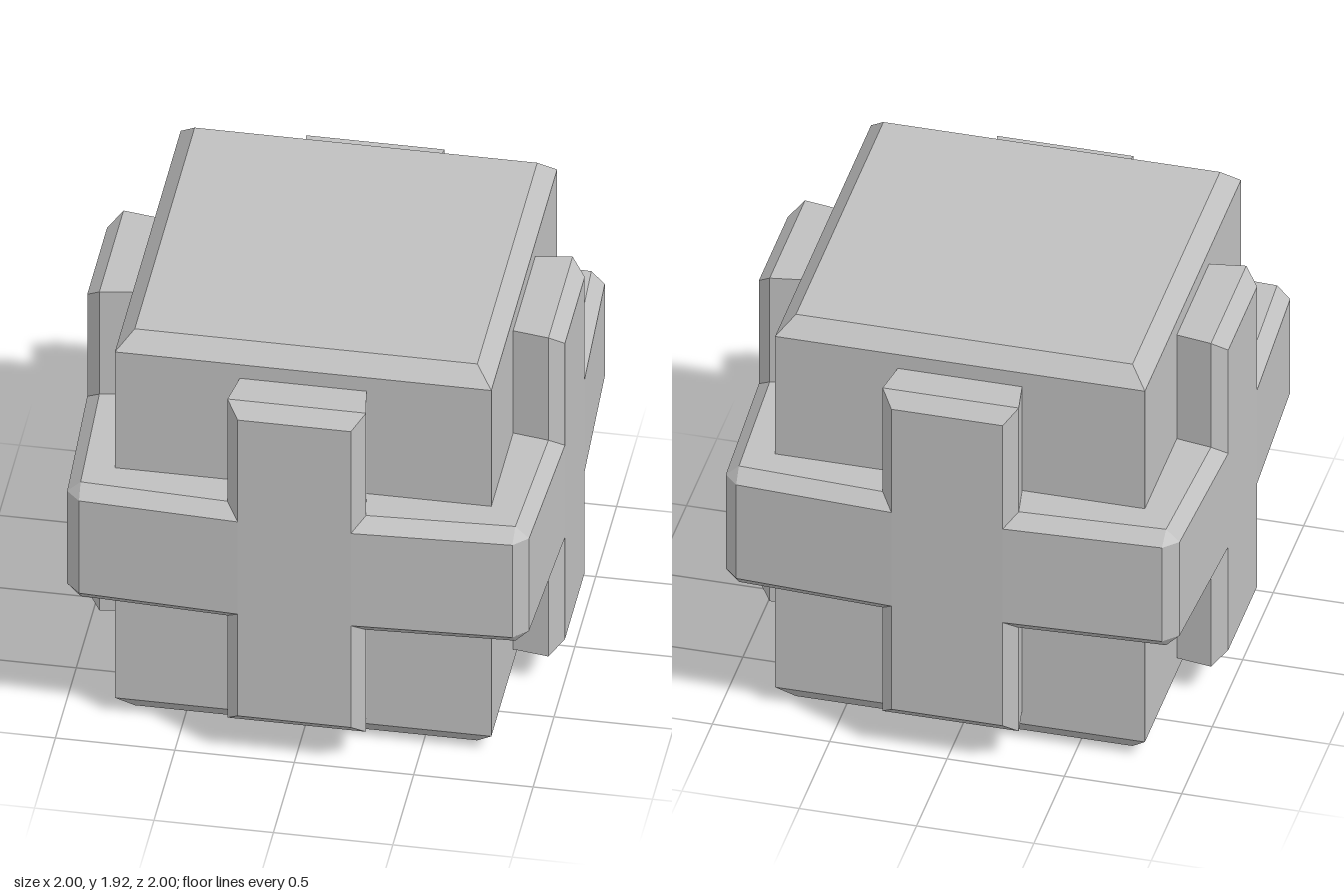
import * as THREE from 'three';

// Skin convex rings (counter-clockwise in x/y, each at its own z) and cap both ends
function loft(rings) {
  const pos = [];
  const tri = (...pts) => pts.forEach((p) => pos.push(...p));
  const r = rings.map(({ pts, z }) => pts.map(([x, y]) => [x, y, z]));
  const n = r[0].length, last = r[r.length - 1];
  for (let k = 0; k < r.length - 1; k++) {
    for (let i = 0; i < n; i++) {
      const j = (i + 1) % n;
      tri(r[k][i], r[k][j], r[k + 1][j]);
      tri(r[k][i], r[k + 1][j], r[k + 1][i]);
    }
  }
  for (let i = 1; i < n - 1; i++) {
    tri(r[0][0], r[0][i + 1], r[0][i]);
    tri(last[0], last[i], last[i + 1]);
  }
  const g = new THREE.BufferGeometry();
  g.setAttribute('position', new THREE.Float32BufferAttribute(pos, 3));
  g.computeVertexNormals();
  return g;
}

const rect = (w, y0, y1) => [[-w, y0], [w, y0], [w, y1], [-w, y1]];

// Repeat one side's points around the four sides
function fourSides(side) {
  const out = [];
  let pts = side;
  for (let k = 0; k < 4; k++) {
    out.push(...pts);
    pts = pts.map(([u, v]) => [-v, u]);
  }
  return out;
}

export function createModel() {
  const group = new THREE.Group();
  const grey = new THREE.MeshStandardMaterial({ color: 0xc0c0c0 });
  grey.name = 'plain grey';

  const add = (name, geometry) => {
    const mesh = new THREE.Mesh(geometry, grey);
    mesh.name = name;
    group.add(mesh);
    return mesh;
  };

  // Block with bevelled top and bottom rims
  const wide = rect(0.788, -0.788, 0.788), narrow = rect(0.717, -0.717, 0.717);
  add('core', loft([
    { pts: narrow, z: 0 },
    { pts: wide, z: 0.08 },
    { pts: wide, z: 1.842 },
    { pts: narrow, z: 1.918 },
  ]).rotateX(-Math.PI / 2));

  // Horizontal band, slightly bowed on each side with cut corners
  const outer = fourSides([[0.967, -0.907], [1, -0.237], [1, 0.237], [0.967, 0.907]]);
  const inner = fourSides([[0.91, -0.91], [0.94, -0.29], [0.94, 0.29], [0.91, 0.91]]);
  add('band', loft([
    { pts: inner, z: 0.67 },
    { pts: outer, z: 0.726 },
    { pts: outer, z: 1.196 },
    { pts: inner, z: 1.252 },
  ]).rotateX(-Math.PI / 2));

  // Upright strap on each side, crossing the band
  const strap = loft([
    { pts: rect(0.262, 0.15, 1.773), z: 0.77 },
    { pts: rect(0.29, 0.15, 1.773), z: 0.94 },
    { pts: rect(0.237, 0.208, 1.715), z: 1 },
  ]);
  ['frontStrap', 'leftStrap', 'backStrap', 'rightStrap'].forEach((name, k) => {
    add(name, strap).rotation.y = (k * Math.PI) / 2;
  });

  return group;
}
